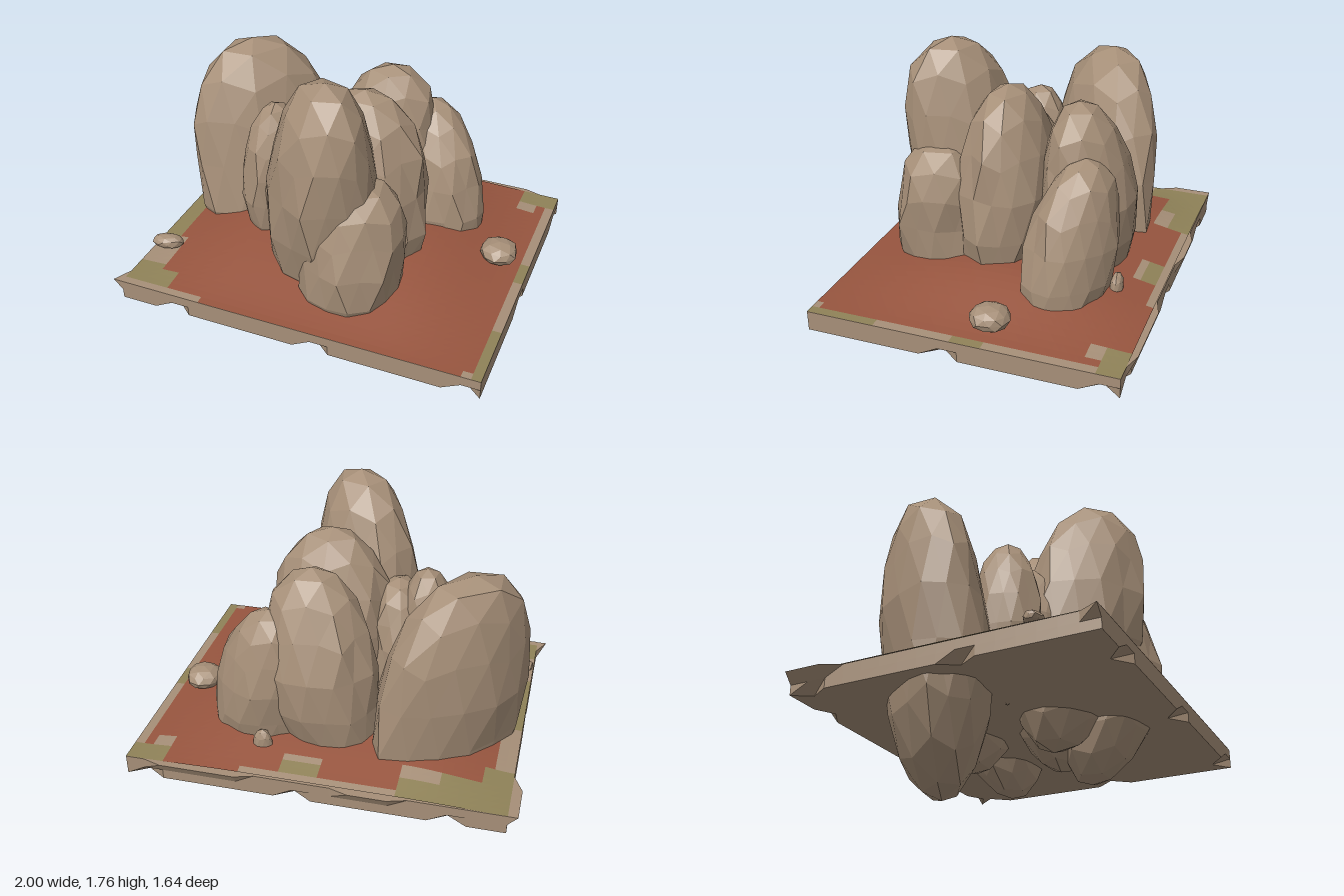
import * as THREE from 'three';

const STONE = 0xa68f78, RED = 0x97553f, OLIVE = 0x8f8258;
const material = (color) =>
  new THREE.MeshStandardMaterial({ color, flatShading: true, side: THREE.DoubleSide });

// Repeatable value in -1..1 for a point, so shared corners move together
function hash(x, y, z, seed) {
  const s = Math.sin(Math.round(x * 50) * 12.99 + Math.round(y * 50) * 78.23
    + Math.round(z * 50) * 37.72 + seed * 9.17) * 43758.5;
  return (s - Math.floor(s)) * 2 - 1;
}

// Move every vertex of a geometry by a rule
function reshape(geo, rule) {
  const p = geo.attributes.position, v = new THREE.Vector3();
  for (let i = 0; i < p.count; i++) {
    rule(v.fromBufferAttribute(p, i));
    p.setXYZ(i, v.x, v.y, v.z);
  }
  geo.computeVertexNormals();
  return geo;
}

// Faceted boulder between heights y0 and y1; lean shifts its top, foot shifts its base
function rock(name, o, seed, mat) {
  const { at, r, y, yaw = 0, lean = [0, 0], foot = [0, 0], bulge = 0.15, detail = 2 } = o;
  const geo = new THREE.IcosahedronGeometry(1, detail);
  geo.rotateZ(-Math.atan(2 / (1 + Math.sqrt(5))));
  geo.rotateY(seed * 0.7);
  const c = Math.cos(yaw), s = Math.sin(yaw);
  reshape(geo, (v) => {
    const t = v.y;
    const ring = Math.sqrt(Math.max(0, 1 - t * t));
    const full = t > 0 && ring > 0.01 ? Math.pow(ring, -bulge) : 1;
    const k = full * (1 + 0.07 * hash(v.x, v.y, v.z, seed));
    const px = v.x * r[0] * k, pz = v.z * r[1] * k;
    const shift = t > 0 ? lean : foot;
    v.set(
      at[0] + px * c + pz * s + shift[0] * Math.abs(t),
      (y[0] + y[1]) / 2 + ((y[1] - y[0]) / 2) * t,
      at[1] - px * s + pz * c + shift[1] * Math.abs(t)
    );
  });
  const mesh = new THREE.Mesh(geo, mat);
  mesh.name = name;
  return mesh;
}

// Height of the earth mound
function moundHeight(x, z) {
  const sx = 1 - THREE.MathUtils.smoothstep(Math.abs(x), 0.4, 1);
  const sz = Math.pow(Math.max(0, 1 - ((z + 0.03) / 0.85) ** 2), 1.5);
  return 0.585 + 0.118 * sx * sz;
}

// Patches on the ground: [x0, x1, z0, z1]; the remainder is red earth
const olivePatches = [
  [-0.95, -0.4, -0.79, -0.65], [-0.95, -0.6, -0.65, -0.58], [-0.95, -0.8, -0.58, -0.46],
  [-0.95, -0.84, -0.1, 0.36], [-0.95, -0.8, 0.62, 0.78], [-0.8, -0.7, 0.66, 0.78],
  [0, 0.2, -0.75, -0.66], [0.8, 1, -0.79, -0.66], [0.93, 1, -0.1, 0.06],
  [0.93, 1, 0.45, 0.82],
];
const stonePatches = [
  [-0.95, -0.84, -0.46, -0.1], [-0.95, -0.8, 0.36, 0.62], [-0.95, -0.5, 0.78, 0.82],
  [-0.6, -0.4, -0.66, -0.6], [-0.4, 0.4, -0.79, -0.75], [0, 0.2, -0.66, -0.62],
  [0.8, 0.9, -0.66, -0.6], [0.95, 1, -0.66, 0.45], [0.9, 1, 0.78, 0.82],
];
const inside = (list, x, z) =>
  list.some(([a, b, c, d]) => x > a && x < b && z > c && z < d);

// Ground surface, one mesh for each kind of cover
function ground() {
  const group = new THREE.Group();
  group.name = 'ground';
  const cells = { redEarth: [], dryGrass: [], bareStone: [] };
  const nx = 39, nz = 40, dx = 1.95 / nx, dz = 1.61 / nz;
  const corner = (i, j) => {
    const x = -0.95 + i * dx, z = -0.79 + j * dz;
    return [x, moundHeight(x, z), z];
  };
  for (let i = 0; i < nx; i++) {
    for (let j = 0; j < nz; j++) {
      const x = -0.95 + (i + 0.5) * dx, z = -0.79 + (j + 0.5) * dz;
      const kind = inside(olivePatches, x, z) ? 'dryGrass'
        : inside(stonePatches, x, z) ? 'bareStone' : 'redEarth';
      const a = corner(i, j), b = corner(i, j + 1), c = corner(i + 1, j + 1), d = corner(i + 1, j);
      cells[kind].push(...a, ...b, ...d, ...b, ...c, ...d);
    }
  }
  const colors = { redEarth: RED, dryGrass: OLIVE, bareStone: STONE };
  for (const [kind, points] of Object.entries(cells)) {
    const geo = new THREE.BufferGeometry();
    geo.setAttribute('position', new THREE.Float32BufferAttribute(points, 3));
    geo.computeVertexNormals();
    const mesh = new THREE.Mesh(geo, material(colors[kind]));
    mesh.name = kind;
    group.add(mesh);
  }
  return group;
}

// Stone slab with chipped lower edges and flared upper edges
function slab(mat) {
  const geo = new THREE.BoxGeometry(1.95, 0.105, 1.61, 20, 2, 16);
  geo.translate(0.025, 0.5305, 0.015);
  const chip = (s) => Math.abs(Math.abs(((s + 10.3) % 0.8) - 0.4) - 0.4) < 0.05;
  reshape(geo, (v) => {
    const { x, y, z } = v;
    const left = x < -0.949, right = x > 0.999, back = z < -0.789, front = z > 0.819;
    if (y > 0.56) {
      if (left && (z < -0.55 || z > 0.72)) v.x = -1;
      if (back && ((x > -0.4 && x < -0.1) || (x > 0.35 && x < 0.85))) v.z = -0.82;
    } else if (y < 0.5) {
      if (front && chip(x)) v.z -= 0.08;
      if (back && chip(x)) v.z += 0.06;
      if (right && chip(z)) v.x -= 0.08;
      if (left && chip(z)) v.x += 0.06;
    }
  });
  const mesh = new THREE.Mesh(geo, mat);
  mesh.name = 'slab';
  return mesh;
}

export function createModel() {
  const model = new THREE.Group();
  model.name = 'rockOutcrop';
  const stone = material(STONE);
  model.add(slab(stone), ground());

  // Boulders set into the slab, then loose pebbles
  const rocks = {
    broadBoulder: { at: [-0.555, -0.225], r: [0.44, 0.27], y: [0, 1.56], yaw: 0.75, lean: [-0.11, -0.03], foot: [0.06, 0.03], bulge: 0.2 },
    tallBoulder: { at: [-0.01, 0.365], r: [0.34, 0.265], y: [0.3, 1.76], yaw: -0.7, lean: [0.06, 0.05], foot: [-0.1, -0.15], bulge: 0.2 },
    frontBoulder: { at: [0.18, 0.43], r: [0.27, 0.265], y: [0.2, 1.26], lean: [0.05, -0.02], foot: [-0.02, -0.12], bulge: 0.35 },
    middleBoulder: { at: [0.12, 0.07], r: [0.35, 0.26], y: [0.28, 1.57], lean: [0, 0.01], foot: [0, 0.08], bulge: 0.05 },
    backBoulder: { at: [0.09, -0.36], r: [0.31, 0.25], y: [0.3, 1.53], lean: [0.04, 0.06], foot: [-0.1, 0.06], bulge: 0.05 },
    sideBoulder: { at: [0.39, -0.35], r: [0.27, 0.22], y: [0.3, 1.32], yaw: -0.4, lean: [-0.06, -0.05], foot: [0.08, 0.04], bulge: 0 },
    slimBoulder: { at: [-0.4, 0.1], r: [0.16, 0.18], y: [0.47, 1.39], lean: [0.02, -0.02] },
    wedgeBoulder: { at: [-0.25, 0.1], r: [0.18, 0.22], y: [0.48, 1.31], lean: [0.02, 0] },
    rightPebble: { at: [0.83, -0.09], r: [0.1, 0.105], y: [0.59, 0.715], detail: 1 },
    leftPebble: { at: [-0.87, 0.47], r: [0.085, 0.05], y: [0.59, 0.665], yaw: 0.25, detail: 1 },
    backPebble: { at: [0.33, -0.58], r: [0.05, 0.035], y: [0.55, 0.72], detail: 1 },
  };
  Object.entries(rocks).forEach(([name, o], i) => model.add(rock(name, o, i + 1, stone)));
  return model;
}
